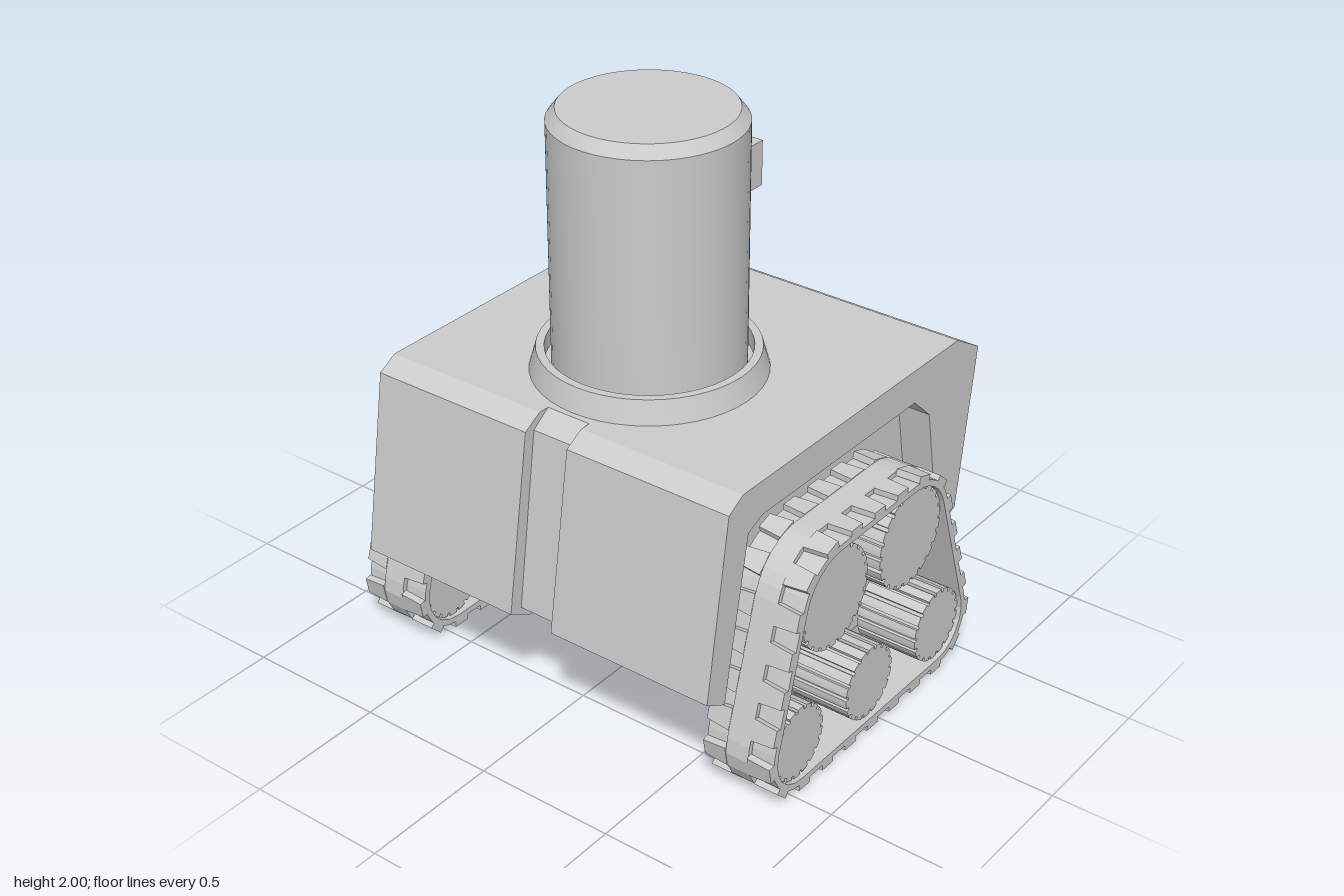
import * as THREE from 'three';
import { toCreasedNormals, mergeGeometries } from 'three/addons/utils/BufferGeometryUtils.js';

const grey = new THREE.MeshStandardMaterial({ color: 0xcccccc });
const v2 = (pts) => pts.map(([x, y]) => new THREE.Vector2(x, y));

function add(parent, name, geometry) {
  const mesh = new THREE.Mesh(geometry, grey);
  mesh.name = name;
  parent.add(mesh);
  return mesh;
}

// Extrude an outline in the xy plane from z0 to z1
function slab(points, z0, z1, hole) {
  const shape = new THREE.Shape(points);
  if (hole) shape.holes.push(new THREE.Path(hole));
  return new THREE.ExtrudeGeometry(shape, { depth: z1 - z0, bevelEnabled: false }).translate(0, 0, z0);
}

function lathe(points, x) {
  return toCreasedNormals(new THREE.LatheGeometry(v2(points), 48), 0.45).translate(x, 0, 0);
}

// Box whose vertices are moved by a rule
function bentBox(w, h, d, rule) {
  const g = new THREE.BoxGeometry(w, h, d).toNonIndexed();
  const p = g.attributes.position;
  const v = new THREE.Vector3();
  for (let i = 0; i < p.count; i++) {
    rule(v.fromBufferAttribute(p, i));
    p.setXYZ(i, v.x, v.y, v.z);
  }
  g.computeVertexNormals();
  return g;
}

// The four circles the belt wraps, counter-clockwise: x, y, radius
const guides = [[-0.455, 0.175, 0.135], [0.345, 0.175, 0.135], [0.147, 0.627, 0.18], [-0.278, 0.627, 0.18]];

// Belt outline pushed outwards by e
function beltOutline(e) {
  const normals = guides.map(([x, y, r], i) => {
    const [x2, y2, r2] = guides[(i + 1) % 4];
    return Math.atan2(y2 - y, x2 - x) - Math.PI / 2 + Math.asin((r - r2) / Math.hypot(x2 - x, y2 - y));
  });
  const pts = [];
  guides.forEach(([x, y, r], i) => {
    const a = normals[(i + 3) % 4];
    let sweep = normals[i] - a;
    while (sweep < 0) sweep += 2 * Math.PI;
    for (let k = 0; k <= 6; k++) {
      const t = a + sweep * k / 6;
      pts.push(new THREE.Vector2(x + (r + e) * Math.cos(t), y + (r + e) * Math.sin(t)));
    }
  });
  return pts;
}

// Ribbed roller with shallow square grooves
function roller(x, y, r, teeth) {
  const pts = [];
  for (let i = 0; i < teeth; i++) {
    for (const [f, d] of [[0, 0], [0.35, 0], [0.7, 0], [0.72, 0.012], [0.98, 0.012]]) {
      const a = (i + f) / teeth * 2 * Math.PI;
      pts.push(new THREE.Vector2(x + (r - d) * Math.cos(a), y + (r - d) * Math.sin(a)));
    }
  }
  return slab(pts, 0.61, 0.84);
}

function makeTrack() {
  const track = new THREE.Group();
  const inner = beltOutline(0);
  add(track, 'belt', slab(beltOutline(0.022), 0.6, 0.855, inner));
  add(track, 'beltCentreBand', slab(beltOutline(0.04), 0.685, 0.77, inner));

  // Tread lugs on both edges of the belt
  const base = beltOutline(0.03);
  const path = new THREE.Path([...base, base[0]]);
  const count = 26;
  const lugs = [];
  for (let i = 0; i < count; i++) {
    const p = path.getPointAt((i + 0.5) / count);
    const t = path.getTangentAt((i + 0.5) / count);
    for (const side of [-1, 1]) {
      const lug = bentBox(0.075, 0.024, 0.085, (v) => {
        if (v.z * side > 0) v.x *= 0.8;
      });
      lug.rotateZ(Math.atan2(t.y, t.x)).translate(p.x, p.y, 0.7275 + side * 0.085);
      lugs.push(lug);
    }
  }
  add(track, 'treadLugs', mergeGeometries(lugs));

  for (const x of [-0.278, 0.147]) add(track, 'upperRoller', roller(x, 0.627, 0.178, 22));
  for (const x of [-0.455, -0.06, 0.345]) add(track, 'lowerRoller', roller(x, 0.175, 0.132, 18));
  return track;
}

export function createModel() {
  const model = new THREE.Group();

  // Hull, built from slabs across its width
  const top = [[0.66, 0.43], [0.745, 1.02], [0.61, 1.1], [-0.58, 1.1], [-0.65, 1.06], [-0.75, 0.43], [-0.66, 0.38]];
  const well = [[-0.55, 0.95], [-0.48, 0.98], [0.36, 0.978], [0.455, 0.89], [0.55, 0.38]];
  const recess = [[-0.52, 0.38], [-0.45, 0.5], [0.38, 0.5], [0.44, 0.38], [0.55, 0.38]];
  const strip = [[0.61, 0.405], [0.66, 0.43], [0.745, 1.02], [0.61, 1.1], [-0.54, 1.1], [-0.61, 1.05], [-0.7, 0.43],
    [-0.64, 0.4], [-0.5, 0.4], [-0.45, 0.5], [0.38, 0.5], [0.43, 0.4]];
  const hull = new THREE.Group();
  hull.name = 'hull';
  model.add(hull);
  for (const s of [-1, 1]) {
    const span = (name, pts, a, b) => add(hull, name, slab(v2(pts), Math.min(s * a, s * b), Math.max(s * a, s * b)));
    span('wheelArch', [...top, ...well], 0.58, 0.7);
    span('hullSide', [...top, [0.55, 0.38]], 0.45, 0.58);
    span('hullMiddle', [...top, ...recess], 0.083, 0.45);

    // Skid rail under the hull, narrowing downwards
    add(hull, 'skidRail', bentBox(1, 1, 1, (v) => {
      const low = v.y < 0;
      v.x = v.x > 0 ? (low ? 0.39 : 0.55) : (low ? -0.5 : -0.66);
      v.z = v.z * s > 0 ? s * 0.58 : s * (low ? 0.51 : 0.455);
      v.y = low ? 0.225 : 0.38;
    }));
  }
  add(hull, 'centreStrip', slab(v2(strip), -0.083, 0.083));

  // Tracks, mirrored front to back
  for (const s of [-1, 1]) {
    const track = makeTrack();
    track.name = s > 0 ? 'frontTrack' : 'rearTrack';
    if (s < 0) track.position.z = -1.455;
    model.add(track);
  }

  // Tower and its collar
  add(model, 'tower', lathe([[0.316, 1.08], [0.316, 1.96], [0.285, 2.0], [0, 2.0]], -0.133));
  add(model, 'collar', lathe([[0.388, 1.1], [0.365, 1.18], [0.337, 1.18], [0.337, 1.12], [0.31, 1.12]], -0.133));

  // Bell under the hull, hollow from below
  add(model, 'bell', lathe([[0, 0.31], [0.26, 0.31], [0.325, 0.205], [0.39, 0.205], [0.31, 0.35], [0.3, 0.35], [0.3, 0.51]], 0.08));

  // Sensor box on the tower: chamfered frame, recessed face, three lenses
  const sensor = new THREE.Group();
  sensor.name = 'sensor';
  sensor.position.set(0, 1.72, 0);
  model.add(sensor);
  add(sensor, 'sensorBody', new THREE.BoxGeometry(0.1, 0.155, 0.324).translate(0.19, 0, 0));
  const rect = (w, h) => v2([[-w, -h], [w, -h], [w, h], [-w, h]]);
  const frame = new THREE.Shape(rect(0.154, 0.07));
  frame.holes.push(new THREE.Path(rect(0.135, 0.056)));
  const frameGeo = new THREE.ExtrudeGeometry(frame, { depth: 0.006, bevelThickness: 0.008, bevelSize: 0.007, bevelSegments: 1 });
  add(sensor, 'sensorFrame', frameGeo.rotateY(Math.PI / 2).translate(0.238, 0, 0));
  for (const [y, z, r, tip] of [[0.026, 0.055, 0.025, 0.25], [-0.03, 0.055, 0.025, 0.25], [0, -0.045, 0.049, 0.262]]) {
    const lens = new THREE.CylinderGeometry(r * 0.88, r, tip - 0.23, 24).rotateZ(-Math.PI / 2);
    add(sensor, 'lens', lens.translate((tip + 0.23) / 2, y, z));
  }
  return model;
}
